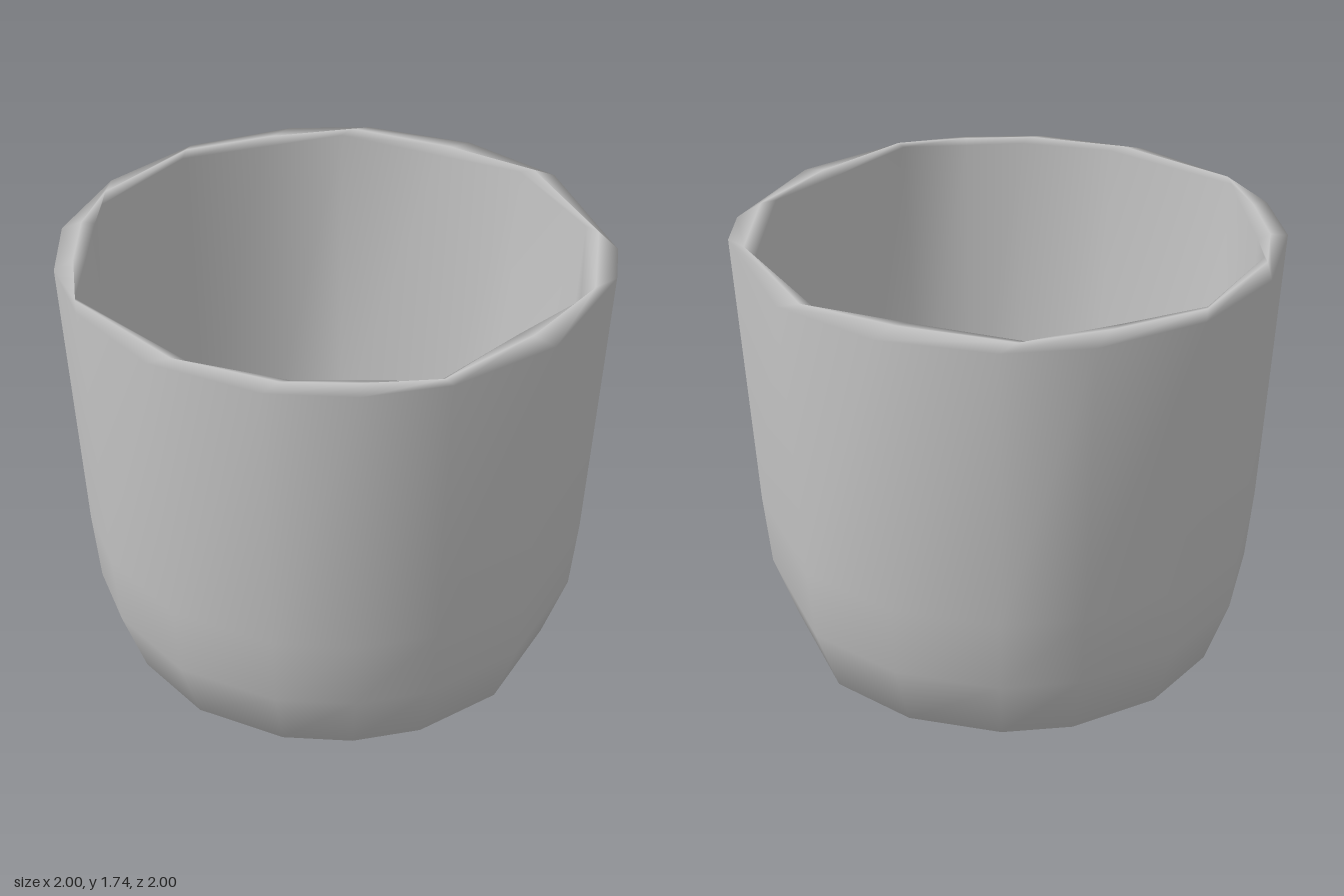
import * as THREE from 'three';

// Irregular 16-sided rim outlines, as [x, z], outer and inner
const OUTER = [[0, -1], [0.41, -0.91], [0.75, -0.67], [1, -0.11], [1, 0.1], [0.81, 0.59], [0.5, 0.87], [0.21, 0.98],
  [-0.1, 1], [-0.5, 0.87], [-0.8, 0.59], [-0.95, 0.31], [-1, 0], [-0.91, -0.4], [-0.67, -0.74], [-0.31, -0.95]];
const INNER = [[-0.1, -0.91], [0.3, -0.78], [0.62, -0.68], [0.88, -0.27], [0.88, 0.27], [0.68, 0.53], [0.45, 0.85], [0.2, 0.88],
  [-0.02, 0.91], [-0.37, 0.84], [-0.83, 0.49], [-0.86, 0.2], [-0.89, -0.05], [-0.9, -0.2], [-0.68, -0.62], [-0.4, -0.76]];
const N = OUTER.length;

// Cross-section from the underside, up the outside, over the rim and down inside:
// [height, scale, outline mix (0 outer, 1 inner), roundness]
const RINGS = [
  [0, 0, 0, 1], [0, 0.65, 0, 0.7], [0.11, 0.83, 0, 0.5], [0.37, 0.92, 0, 0.3], [0.65, 0.945, 0, 0.1],
  [1.72, 1, 0, 0], [1.735, 1, 0.6, 0], [1.72, 1, 1, 0],
  [0.4, 0.93, 1, 0.4], [0.18, 0.83, 1, 0.7], [0.1, 0.6, 1, 1], [0.1, 0, 1, 1],
];

// Loft the rings into one smooth closed shell
function cupGeometry() {
  const position = [], index = [];
  for (const [y, scale, mix, round] of RINGS) {
    for (let i = 0; i < N; i++) {
      const x = THREE.MathUtils.lerp(OUTER[i][0], INNER[i][0], mix);
      const z = THREE.MathUtils.lerp(OUTER[i][1], INNER[i][1], mix);
      const circle = THREE.MathUtils.lerp(1, 0.92, mix) / Math.hypot(x, z);
      const k = scale * THREE.MathUtils.lerp(1, circle, round);
      position.push(x * k, y, z * k);
    }
  }
  for (let r = 0; r < RINGS.length - 1; r++) {
    for (let i = 0; i < N; i++) {
      const a = r * N + i, b = r * N + (i + 1) % N;
      const c = a + N, d = b + N;
      if (RINGS[r][1] > 0) index.push(a, c, b);
      if (RINGS[r + 1][1] > 0) index.push(b, c, d);
      else if (RINGS[r][1] === 0) index.push(b, c, d);
    }
  }
  const geometry = new THREE.BufferGeometry();
  geometry.setAttribute('position', new THREE.Float32BufferAttribute(position, 3));
  geometry.setIndex(index);
  geometry.computeVertexNormals();
  return geometry;
}

export function createModel() {
  const group = new THREE.Group();
  group.name = 'cup';
  const grey = new THREE.MeshStandardMaterial({ color: 0xc4c4c4, side: THREE.DoubleSide });
  grey.name = 'grey';
  const shell = new THREE.Mesh(cupGeometry(), grey);
  shell.name = 'cupShell';
  group.add(shell);
  return group;
}
